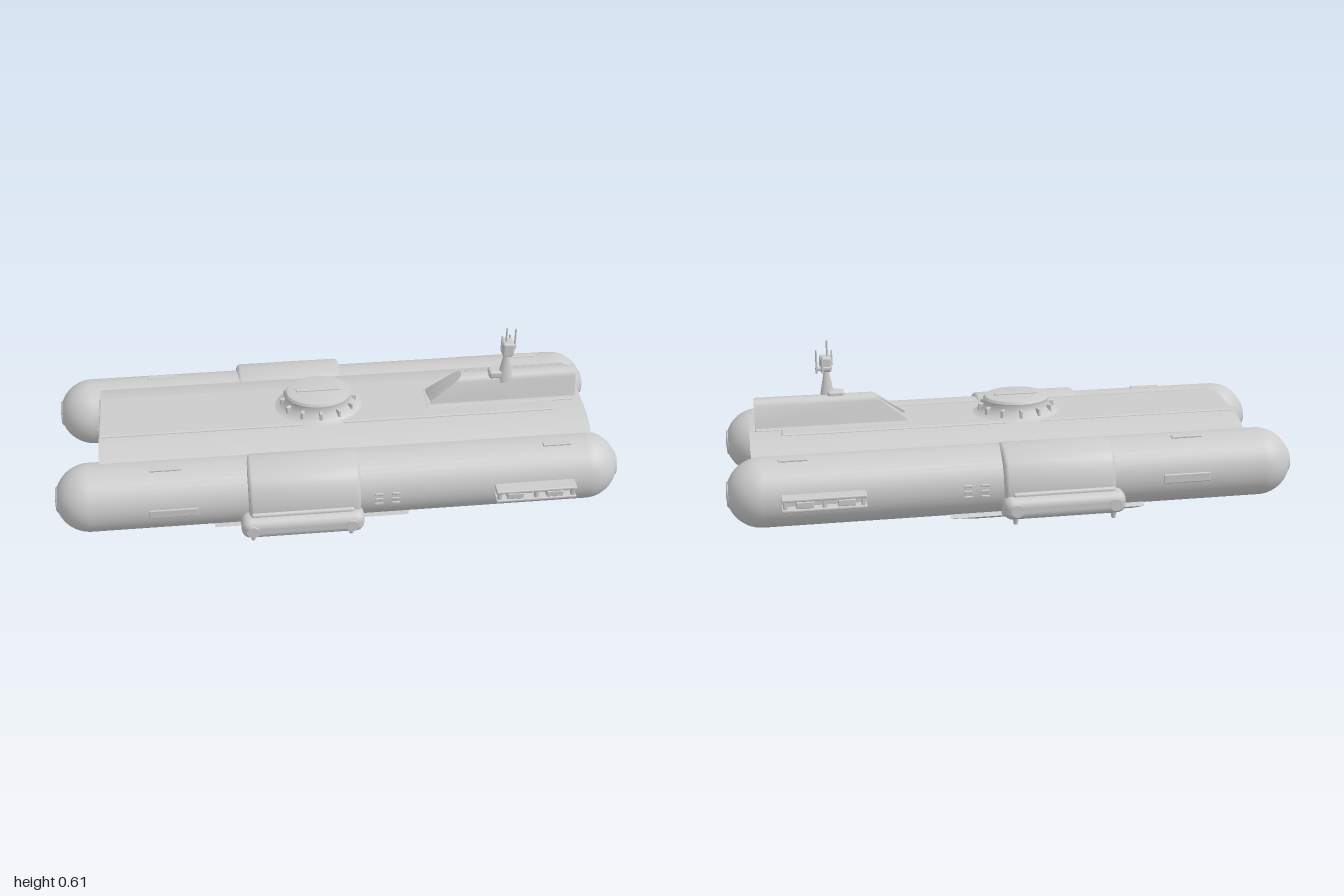
import * as THREE from 'three';
import { toCreasedNormals } from 'three/addons/utils/BufferGeometryUtils.js';
import { RoundedBoxGeometry } from 'three/addons/geometries/RoundedBoxGeometry.js';

const grey = new THREE.MeshStandardMaterial({ color: 0xcccccc });

export function createModel() {
  const model = new THREE.Group();

  const add = (name, geometry, x = 0, y = 0, z = 0) => {
    const mesh = new THREE.Mesh(geometry, grey);
    mesh.name = name;
    mesh.position.set(x, y, z);
    model.add(mesh);
    return mesh;
  };
  const box = (name, w, h, d, x, y, z, r = 0.006) =>
    add(name, new RoundedBoxGeometry(w, h, d, 3, r), x, y, z);

  // Sweeps a smoothed or straight [z, y] outline along x from x0 to x1
  const sweep = (points, x0, x1, bevel = 0) => {
    const shape = new THREE.Shape(points.map(([z, y]) => new THREE.Vector2(z, y)));
    const g = new THREE.ExtrudeGeometry(shape, {
      depth: x1 - x0 - 2 * bevel, bevelEnabled: bevel > 0, bevelThickness: bevel,
      bevelSize: bevel, bevelOffset: -bevel, bevelSegments: 3,
    });
    g.rotateY(-Math.PI / 2).translate(x1 - bevel, 0, 0);
    return g;
  };
  // Moves every vertex by a rule
  const reshape = (g, rule) => {
    const p = g.attributes.position;
    const v = new THREE.Vector3();
    for (let i = 0; i < p.count; i++) {
      rule(v.fromBufferAttribute(p, i));
      p.setXYZ(i, v.x, v.y, v.z);
    }
    return toCreasedNormals(g, 0.6);
  };
  const mirrored = (pts) => [...pts, ...pts.map(([z, y]) => [-z, y]).reverse()];

  // Central body with a gently arched deck and undercut ends
  const body = sweep(mirrored([
    [0.14, 0.065], [0.24, 0.085], [0.24, 0.275], [0.2, 0.293], [0.16, 0.305], [0.11, 0.314],
  ]), -0.84, 0.91);
  add('centralBody', reshape(body, (v) => {
    v.x -= Math.sign(v.x) * 0.11 * Math.max(0, (0.28 - v.y) / 0.22);
  }));
  box('deckPlate', 1.64, 0.012, 0.24, -0.02, 0.312, 0);

  // Parts repeated on both flanks
  for (const s of [1, -1]) {
    const side = (pts) => pts.map(([z, y]) => [s * z, y]);

    // Main hull tube with round ends
    const hull = new THREE.CapsuleGeometry(0.121, 1.758, 16, 40);
    hull.rotateZ(Math.PI / 2);
    add('sideHull', hull, 0, 0.165, s * 0.262);

    // Swollen sleeve around the hull amidships
    const curve = new THREE.CatmullRomCurve3([
      [0.2, 0.27], [0.25, 0.29], [0.32, 0.288], [0.37, 0.265], [0.4, 0.215],
      [0.412, 0.15], [0.4, 0.085], [0.34, 0.045], [0.25, 0.03],
    ].map(([z, y]) => new THREE.Vector3(z, y, 0)));
    const outline = curve.getPoints(32).map((p) => [p.x, p.y]);
    add('hullSleeve', toCreasedNormals(sweep(side(outline), -0.33, 0.06, 0.015), 0.6));

    // Keel, its lower edge shorter than its root
    const keel = sweep(side([
      [0.13, 0.075], [0.185, 0.008], [0.195, 0], [0.212, 0], [0.225, 0.01],
      [0.265, 0.015], [0.335, 0.05], [0.3, 0.1],
    ]), -0.45, 0.24);
    add('keel', reshape(keel, (v) => {
      if (v.x > 0) v.x = 0.08 + 0.16 * Math.min(1, v.y / 0.05);
      else v.x = -0.42 - 0.03 * Math.min(1, v.y / 0.05);
    }));

    // Long pod on the sleeve with end caps and feet
    box('sidePod', 0.43, 0.08, 0.085, -0.145, 0.11, s * 0.406, 0.032);
    box('podRail', 0.36, 0.025, 0.03, -0.145, 0.15, s * 0.405, 0.01);
    for (const x of [-0.32, 0.025]) {
      const cap = new THREE.CylinderGeometry(0.022, 0.022, 0.012, 20);
      cap.rotateX(Math.PI / 2);
      add('podCap', cap, x, 0.11, s * 0.448);
      add('podFoot', new THREE.CylinderGeometry(0.012, 0.007, 0.03, 12), x, 0.062, s * 0.41);
    }

    // Open equipment rack near the stern
    box('rackBase', 0.27, 0.04, 0.04, 0.675, 0.175, s * 0.382);
    for (const y of [0.157, 0.194])
      box('rackRail', 0.285, 0.011, 0.05, 0.675, y, s * 0.408, 0.004);
    for (let i = 0; i < 5; i++)
      box('rackPost', 0.014, 0.04, 0.02, 0.545 + i * 0.065, 0.175, s * 0.42, 0.004);
    for (const x of [0.6, 0.74])
      box('rackUnit', 0.06, 0.024, 0.03, x, 0.175, s * 0.416, 0.004);

    // Slim hatch plates and rungs on the hull flank
    box('flankHatch', 0.17, 0.035, 0.012, -0.59, 0.165, s * 0.379, 0.005);
    for (const x of [0.125, 0.185])
      for (const y of [0.145, 0.165, 0.185])
        box('flankRung', 0.03, 0.01, 0.01, x, y, s * 0.38, 0.003);
    box('topHatch', 0.11, 0.008, 0.02, -0.61, 0.284, s * 0.285, 0.003);
    box('sternHatch', 0.1, 0.008, 0.02, 0.77, 0.284, s * 0.285, 0.003);

    // Worn nozzle plate at each hull end
    for (const e of [1, -1]) {
      const plate = new THREE.TorusGeometry(0.04, 0.006, 8, 28);
      plate.rotateY(Math.PI / 2);
      add('endRing', plate, e * 0.991, 0.165, s * 0.262);
    }

    // Small fins under the belly
    box('bellyFin', 0.05, 0.022, 0.008, 0.5, 0.055, s * 0.095, 0.003);
    box('bellyFinFoot', 0.05, 0.006, 0.03, 0.5, 0.045, s * 0.095, 0.002);
  }

  // Grating under the belly
  for (let i = 0; i < 5; i++)
    box('bellyGrate', 0.02, 0.008, 0.2, 0.36 + i * 0.04, 0.064, 0, 0.003);

  // Oval deck hatch
  const hatch = new THREE.LatheGeometry([
    [0.17, 0], [0.145, 0.006], [0.125, 0.025], [0.118, 0.045], [0.12, 0.055],
    [0.114, 0.064], [0.1, 0.067], [0, 0.067],
  ].reverse().map(([r, y]) => new THREE.Vector2(r, y)).reverse(), 48);
  const hatchMesh = add('deckHatch', toCreasedNormals(hatch, 0.7), -0.05, 0.315, 0);
  hatchMesh.scale.z = 0.8;
  for (let i = 0; i < 12; i++) {
    const a = (i / 12) * Math.PI * 2;
    const rib = box('hatchRib', 0.03, 0.03, 0.012, -0.05 + Math.cos(a) * 0.124, 0.338, Math.sin(a) * 0.099, 0.004);
    rib.rotation.y = -a;
  }
  box('hatchBar', 0.16, 0.008, 0.02, -0.05, 0.383, 0, 0.003);

  // Sail: rounded ridge with a sloping bow
  const sail = sweep(mirrored([
    [0.054, 0.3], [0.045, 0.325], [0.031, 0.395], [0.024, 0.408], [0.012, 0.415],
  ]), 0.34, 0.89);
  add('sail', reshape(sail, (v) => {
    if (v.x < 0.5) v.x += 0.13 * Math.max(0, (v.y - 0.315) / 0.1);
  }));
  box('sailFoot', 0.55, 0.012, 0.13, 0.615, 0.313, 0, 0.005);

  // Mast, sensor head and aerials
  const mast = new THREE.CylinderGeometry(0.008, 0.03, 0.12, 16);
  add('mast', mast, 0.63, 0.445, 0.016).scale.z = 0.75;
  box('mastFoot', 0.06, 0.03, 0.045, 0.6, 0.415, 0.008, 0.01);
  box('sensorHead', 0.042, 0.054, 0.05, 0.632, 0.527, 0.018, 0.008);
  box('sensorArm', 0.055, 0.012, 0.012, 0.642, 0.515, -0.006, 0.004);
  const aerial = (x, y0, y1, z) =>
    add('aerial', new THREE.CylinderGeometry(0.003, 0.004, y1 - y0, 8), x, (y0 + y1) / 2, z);
  aerial(0.625, 0.54, 0.61, 0.02);
  aerial(0.665, 0.5, 0.585, -0.01);
  aerial(0.645, 0.5, 0.56, -0.012);
  aerial(0.61, 0.52, 0.575, 0.018);

  return model;
}
